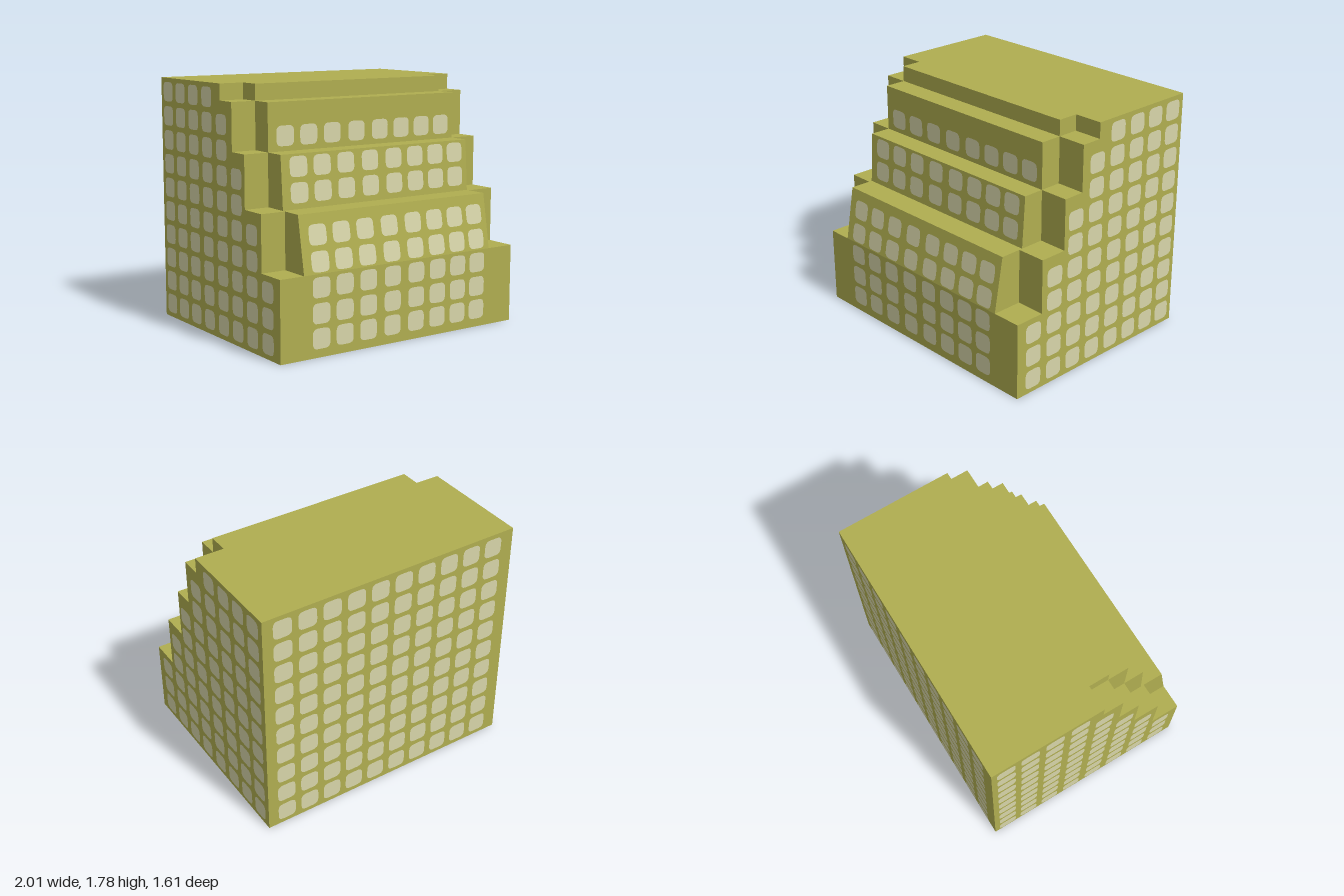
import * as THREE from 'three';

const wall = new THREE.MeshStandardMaterial({ color: 0xb0ae50 });
wall.name = 'olive wall';
const pane = new THREE.MeshStandardMaterial({ color: 0xd7d5a9 });
pane.name = 'pale window';

// Extrudes a [z, y] profile along x from x0 to x1.
function block(name, profile, x0, x1) {
  const shape = new THREE.Shape(profile.map(([z, y]) => new THREE.Vector2(z, y)));
  const geo = new THREE.ExtrudeGeometry(shape, { depth: x1 - x0, bevelEnabled: false });
  geo.rotateY(-Math.PI / 2).translate(x1, 0, 0);
  const mesh = new THREE.Mesh(geo, wall);
  mesh.name = name;
  return mesh;
}

// Rounded square window, facing +z.
function windowGeometry(size, r) {
  const h = size / 2;
  const s = new THREE.Shape();
  s.moveTo(-h + r, -h);
  s.lineTo(h - r, -h).quadraticCurveTo(h, -h, h, -h + r);
  s.lineTo(h, h - r).quadraticCurveTo(h, h, h - r, h);
  s.lineTo(-h + r, h).quadraticCurveTo(-h, h, -h, h - r);
  s.lineTo(-h, -h + r).quadraticCurveTo(-h, -h, -h + r, -h);
  return new THREE.ShapeGeometry(s, 4);
}

export function createModel() {
  const model = new THREE.Group();
  model.name = 'terracedBuilding';

  // Stepped centre with leaning lower terraces
  model.add(block('centreTerraces', [
    [-0.8, 0], [0.8, 0], [0.8, 0.565], [0.73, 0.96], [0.55, 0.96], [0.525, 1.33],
    [0.37, 1.33], [0.37, 1.665], [0.21, 1.665], [0.21, 1.78], [-0.8, 1.78],
  ], -0.815, 0.785));

  // Upright stepped wings, set further back
  const wing = [
    [-0.8, 0], [0.8, 0], [0.8, 0.565], [0.575, 0.565], [0.575, 0.96], [0.37, 0.96],
    [0.37, 1.33], [0.21, 1.33], [0.21, 1.665], [0.055, 1.665], [0.055, 1.78], [-0.8, 1.78],
  ];
  model.add(block('rightWing', wing, -1, -0.815), block('leftWing', wing, 0.785, 1));

  const glass = windowGeometry(0.14, 0.04);
  const groups = {};
  function addWindow(side, x, y, z, rx, ry) {
    if (!groups[side]) {
      groups[side] = new THREE.Group();
      groups[side].name = side + 'Windows';
      model.add(groups[side]);
    }
    const mesh = new THREE.Mesh(glass, pane);
    mesh.name = 'window';
    mesh.position.set(x, y, z);
    mesh.rotation.set(rx, ry, 0);
    groups[side].add(mesh);
  }
  const gap = 0.004;

  // Front windows: each terrace face is [bottom z, bottom y, top z, top y, row heights]
  const frontColumns = [-0.68, -0.49, -0.295, -0.09, 0.115, 0.305, 0.49, 0.67];
  const faces = [
    [0.8, 0, 0.8, 0.565, [0.13, 0.3, 0.475]],
    [0.8, 0.565, 0.73, 0.96, [0.645, 0.82]],
    [0.55, 0.96, 0.525, 1.33, [1.07, 1.245]],
    [0.37, 1.33, 0.37, 1.665, [1.435]],
  ];
  for (const [z0, y0, z1, y1, rows] of faces) {
    const lean = Math.atan2(z0 - z1, y1 - y0);
    for (const y of rows) {
      const z = z0 + (z1 - z0) * (y - y0) / (y1 - y0);
      for (const x of frontColumns) addWindow('front', x, y, z + gap, -lean, 0);
    }
  }

  // Side windows: fewer rows towards the stepped front
  const sideColumns = [[0.655, 3], [0.46, 5], [0.268, 7], [0.074, 9],
    [-0.124, 10], [-0.318, 10], [-0.506, 10], [-0.69, 10]];
  const rowY = (i) => 0.105 + 0.175 * i;
  for (const [z, count] of sideColumns) {
    for (let i = 0; i < count; i++) {
      addWindow('left', 1 + gap, rowY(i), z, 0, Math.PI / 2);
      addWindow('right', -1 - gap, rowY(i), z, 0, -Math.PI / 2);
    }
  }

  // Back windows
  for (let c = 0; c < 10; c++) {
    for (let i = 0; i < 10; i++) {
      addWindow('back', -0.83 + 0.187 * c, rowY(i), -0.8 - gap, 0, Math.PI);
    }
  }

  return model;
}
